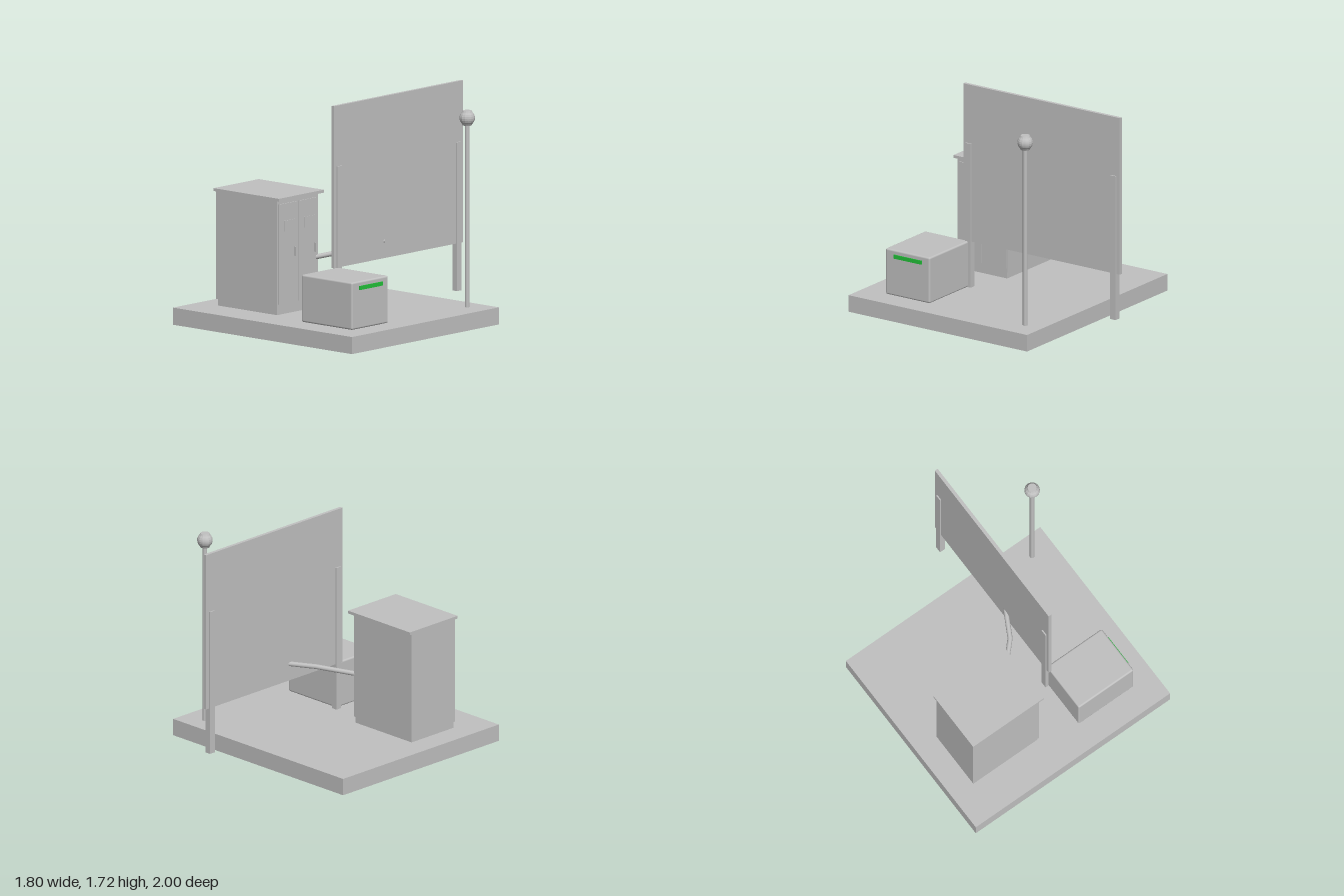
import * as THREE from 'three';
import { RoundedBoxGeometry } from 'three/addons/geometries/RoundedBoxGeometry.js';

export function createModel() {
  const model = new THREE.Group();
  model.name = 'siteModel';
  const grey = new THREE.MeshStandardMaterial({ color: 0xc0c0c0 });
  grey.name = 'light grey';
  const green = new THREE.MeshStandardMaterial({ color: 0x22c038 });
  green.name = 'signal green';
  const greyFlat = grey;

  const add = (name, geometry, material = grey, parent = model) => {
    const mesh = new THREE.Mesh(geometry, material);
    mesh.name = name;
    parent.add(mesh);
    return mesh;
  };
  // Box given by its extents along each axis
  const box = (name, [x0, x1], [y0, y1], [z0, z1], material = grey, parent = model) => {
    const mesh = add(name, new THREE.BoxGeometry(x1 - x0, y1 - y0, z1 - z0), material, parent);
    mesh.position.set((x0 + x1) / 2, (y0 + y1) / 2, (z0 + z1) / 2);
    return mesh;
  };

  // Ground slab
  box('baseSlab', [-0.9, 0.9], [0, 0.13], [-0.64, 1]);

  // Cabinet with plinth, roof and two doors facing +x
  const cabinet = new THREE.Group();
  cabinet.name = 'cabinet';
  model.add(cabinet);
  box('plinth', [-0.71, -0.115], [0.13, 0.18], [0.27, 0.71], grey, cabinet);
  box('cabinetBody', [-0.72, -0.108], [0.18, 1.0], [0.26, 0.72], grey, cabinet);
  box('cabinetRoof', [-0.73, -0.075], [1.0, 1.022], [0.232, 0.735], grey, cabinet);
  for (const front of [0.705, 0.48]) {
    box('door', [-0.108, -0.1], [0.21, 0.97], [front - 0.21, front], grey, cabinet);
    box('doorVent', [-0.1, -0.096], [0.76, 0.84], [front - 0.175, front - 0.055], grey, cabinet);
    box('doorHandle', [-0.1, -0.082], [0.56, 0.63], [front - 0.182, front - 0.168], grey, cabinet);
  }

  // Large upright panel on two posts
  box('panel', [0.188, 0.214], [0.49, 1.72], [-1, 0.437]);
  for (const z of [-0.945, 0.387]) {
    box('panelPost', [0.178, 0.225], [0.13, 1.26], [z - 0.025, z + 0.025]);
  }

  // Bent conduit from the cabinet to the panel
  const points = [
    [-0.14, 0.507, 0.312], [0.1, 0.572, 0.07], [0.205, 0.622, -0.13],
  ].map((p) => new THREE.Vector3(...p));
  const path = new THREE.CurvePath();
  for (let i = 0; i < points.length - 1; i++) path.add(new THREE.LineCurve3(points[i], points[i + 1]));
  add('conduit', new THREE.TubeGeometry(path, 30, 0.019, 8));

  // Rounded equipment box with its green indicator
  add('equipmentBox', new RoundedBoxGeometry(0.51, 0.36, 0.407, 3, 0.014)).position.set(0.46, 0.31, 0.591);
  box('indicator', [0.714, 0.723], [0.425, 0.455], [0.46, 0.715], green);

  // Lamp post with a faceted globe
  add('lampPole', new THREE.CylinderGeometry(0.018, 0.018, 1.4, 12)).position.set(0.715, 0.83, -0.49);
  const profile = [[0, -0.056], [0.034, -0.056]];
  for (let i = 0; i <= 6; i++) {
    const a = -0.8 + (1.6 * i) / 6;
    profile.push([Math.cos(a) * 0.059, Math.sin(a) * 0.059]);
  }
  profile.push([0.034, 0.056], [0, 0.056]);
  const globe = new THREE.LatheGeometry(profile.map((p) => new THREE.Vector2(...p)), 14).toNonIndexed();
  globe.computeVertexNormals();
  add('lampGlobe', globe, greyFlat).position.set(0.715, 1.567, -0.49);
  return model;
}
